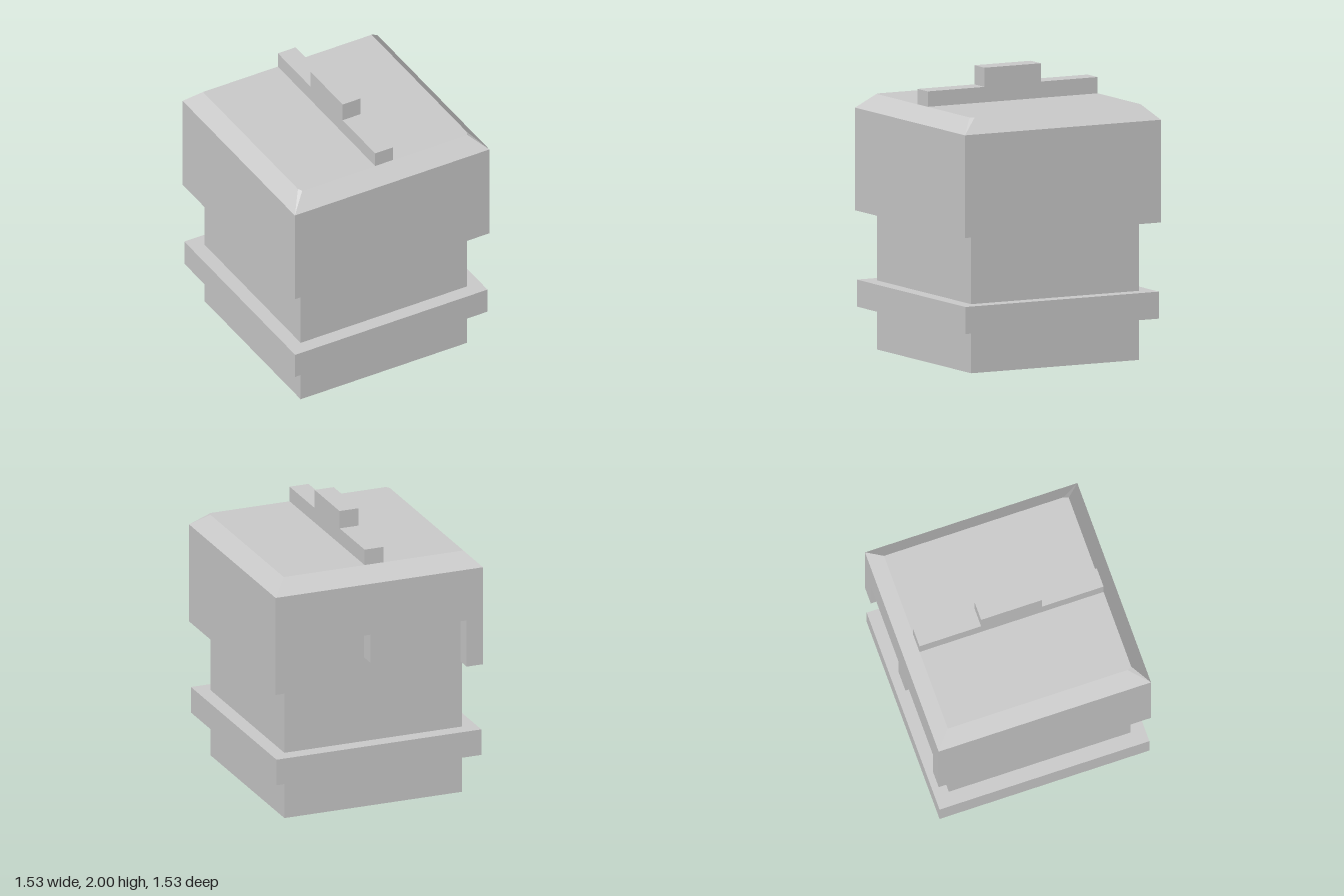
import * as THREE from 'three';
import { ConvexGeometry } from 'three/addons/geometries/ConvexGeometry.js';

const material = new THREE.MeshStandardMaterial({ color: 0xcccccc, flatShading: true });

function add(parent, name, geometry) {
  const mesh = new THREE.Mesh(geometry, material);
  mesh.name = name;
  parent.add(mesh);
}

// Box given by its lower and upper corners
function block(x0, y0, z0, x1, y1, z1) {
  return new THREE.BoxGeometry(x1 - x0, y1 - y0, z1 - z0)
    .translate((x0 + x1) / 2, (y0 + y1) / 2, (z0 + z1) / 2);
}

function extrude(points, depth) {
  const shape = new THREE.Shape(points.map(([x, y]) => new THREE.Vector2(x, y)));
  return new THREE.ExtrudeGeometry(shape, { depth, bevelEnabled: false });
}

export function createModel() {
  const group = new THREE.Group();
  const left = 0.763, right = -0.768, half = 0.766;

  // Square trunk and the band around it
  add(group, 'trunk', block(-0.658, 0, -0.655, 0.652, 1.6, 0.655));
  add(group, 'band', block(-0.76, 0.29, -0.757, 0.753, 0.476, 0.757));

  const helmet = new THREE.Group();
  helmet.name = 'helmet';
  group.add(helmet);

  // Closed front and sides
  add(helmet, 'helmetShell', block(right, 0.953, -0.64, left, 1.66, half));

  // Open side: wide notch with a short guard hanging in its middle
  const y0 = 0.953, notch = 1.29, guard = 1.085;
  add(helmet, 'facePanel', extrude([
    [right, y0], [-0.648, y0], [-0.648, notch], [-0.077, notch], [-0.077, guard],
    [0.063, guard], [0.063, notch], [0.643, notch], [0.643, y0], [left, y0],
    [left, 1.66], [right, 1.66],
  ], half - 0.64).translate(0, 0, -half));

  // Bevelled top, with the two front corners clipped
  const cap = [];
  for (const [edge, s] of [[left, 1], [right, -1]]) {
    const top = edge - s * 0.102;
    cap.push(
      new THREE.Vector3(edge, 1.66, -half), new THREE.Vector3(edge, 1.66, half),
      new THREE.Vector3(top, 1.762, -0.664), new THREE.Vector3(top, 1.762, 0.632),
      new THREE.Vector3(top - s * 0.015, 1.762, 0.664),
    );
  }
  add(helmet, 'helmetTop', new ConvexGeometry(cap));

  // Stepped ridge running front to back
  add(helmet, 'ridge', extrude([
    [-0.664, 1.75], [0.664, 1.75], [0.664, 1.868], [0.22, 1.868],
    [0.22, 2], [-0.22, 2], [-0.22, 1.874], [-0.664, 1.874],
  ], 0.14).rotateY(-Math.PI / 2).translate(0.063, 0, 0));

  return group;
}
